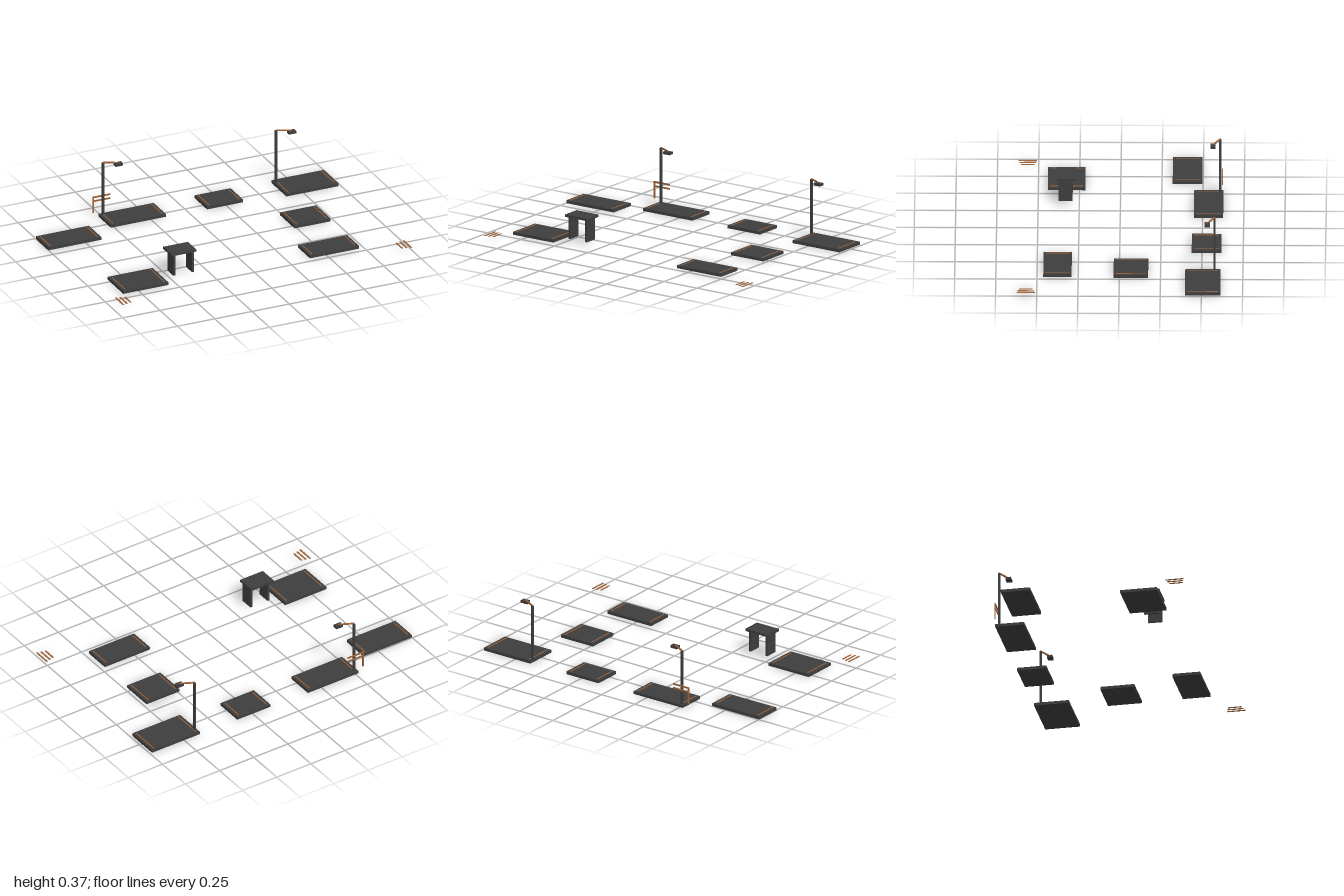
import * as THREE from 'three';

const dark = new THREE.MeshStandardMaterial({ color: 0x3e3e3e });
dark.name = 'charcoal';
const copper = new THREE.MeshStandardMaterial({ color: 0xa0643a });
copper.name = 'copper';

const SLAB_TOP = 0.018;

// Box given by its min and max along each axis
function box(parent, name, material, [x0, x1], [y0, y1], [z0, z1]) {
  const mesh = new THREE.Mesh(new THREE.BoxGeometry(x1 - x0, y1 - y0, z1 - z0), material);
  mesh.position.set((x0 + x1) / 2, (y0 + y1) / 2, (z0 + z1) / 2);
  mesh.name = name;
  parent.add(mesh);
  return mesh;
}

function group(parent, name) {
  const g = new THREE.Group();
  g.name = name;
  parent.add(g);
  return g;
}

// Paving slab with a thin inlay near each end
function addSlab(parent, x0, x1, z0, z1) {
  const g = group(parent, 'slab');
  box(g, 'slabBody', dark, [x0, x1], [0, SLAB_TOP], [z0, z1]);
  for (const x of [x0 + 0.02, x1 - 0.02]) {
    box(g, 'inlay', copper, [x - 0.003, x + 0.003], [SLAB_TOP - 0.002, SLAB_TOP + 0.002], [z0 + 0.014, z1 - 0.014]);
  }
}

// Lamp post with a diagonal arm and a box head
function addLamp(parent, x, z) {
  const g = group(parent, 'lampPost');
  const r = 0.0065;
  box(g, 'pole', dark, [x - r, x + r], [SLAB_TOP, 0.365], [z - r, z + r]);
  const dx = 0.083, dz = 0.043;
  const arm = new THREE.Mesh(new THREE.BoxGeometry(Math.hypot(dx, dz), 0.008, 0.008), copper);
  arm.name = 'arm';
  arm.position.set(x + dx / 2, 0.367, z + dz / 2);
  arm.rotation.y = -Math.atan2(dz, dx);
  g.add(arm);
  box(g, 'lampHead', dark, [x + 0.06, x + 0.108], [0.35, 0.366], [z + 0.027, z + 0.06]);
}

export function createModel() {
  const model = new THREE.Group();
  model.name = 'plaza';

  // Slabs: x range, z range
  const slabs = [
    [-1.0, -0.645, -0.495, -0.315],
    [-0.52, -0.15, -0.625, -0.447],
    [0.12, 0.362, -0.617, -0.437],
    [0.635, 0.985, -0.615, -0.4],
    [0.487, 0.728, -0.175, 0.035],
    [0.39, 0.72, 0.29, 0.462],
    [-0.852, -0.55, 0.215, 0.442],
  ];
  for (const s of slabs) addSlab(model, ...s);

  addLamp(model, -0.5, -0.605);
  addLamp(model, 0.648, -0.577);

  // Table on two panel legs
  const table = group(model, 'table');
  box(table, 'tableTop', dark, [-0.503, -0.337], [0.158, 0.173], [0.267, 0.387]);
  for (const x of [-0.478, -0.354]) {
    box(table, 'leg', dark, [x - 0.0075, x + 0.0075], [0.02, 0.158], [0.29, 0.375]);
  }

  // Railing with one post and two rails
  const railing = group(model, 'railing');
  box(railing, 'post', copper, [-0.562, -0.555], [0.035, 0.142], [-0.622, -0.615]);
  for (const y of [0.112, 0.138]) {
    box(railing, 'rail', copper, [-0.56, -0.445], [y - 0.005, y + 0.005], [-0.621, -0.616]);
  }

  // Ground marks, shortening towards the middle
  for (const side of [-1, 1]) {
    const marks = group(model, 'groundMarks');
    const outer = side < 0 ? -0.935 : 0.994;
    for (let i = 0; i < 3; i++) {
      const x = outer - side * i * 0.027;
      const half = 0.056 - i * 0.007;
      box(marks, 'mark', copper, [x - 0.005, x + 0.005], [0.019, 0.022], [0.567 - half, 0.567 + half]);
    }
  }

  return model;
}
